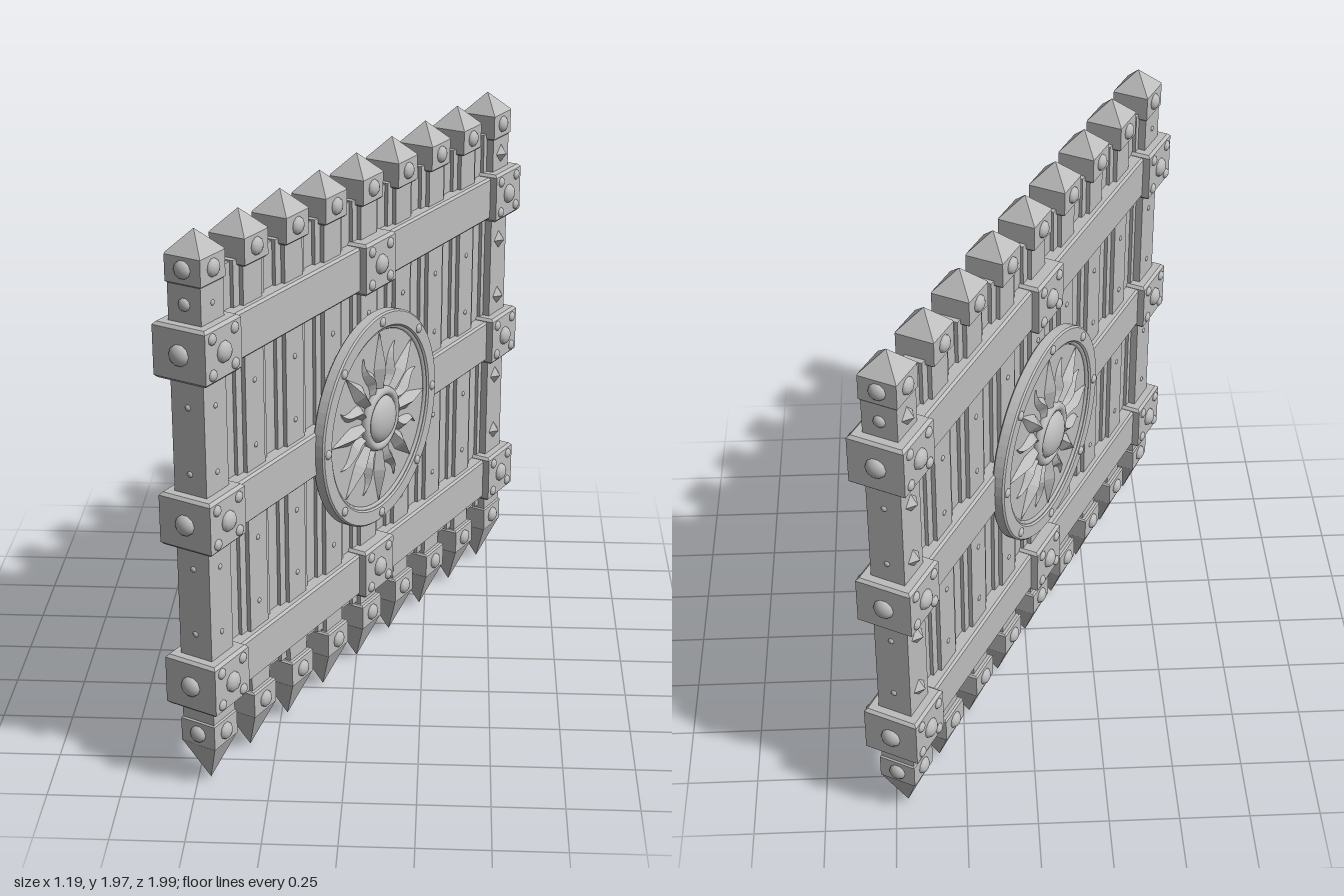
import * as THREE from 'three';

const metal = new THREE.MeshStandardMaterial({ color: 0xbdbdbd });
metal.name = 'greyIron';

function add(parent, name, geo, x = 0, y = 0, z = 0) {
  const m = new THREE.Mesh(geo, metal);
  m.name = name;
  m.position.set(x, y, z);
  parent.add(m);
  return m;
}

// Box with chamfered edges, centred on the origin
function chamferBox(w, h, d, b) {
  const x = w / 2 - b, z = d / 2 - b;
  const s = new THREE.Shape([[-x, -z], [x, -z], [x, z], [-x, z]].map(p => new THREE.Vector2(...p)));
  const g = new THREE.ExtrudeGeometry(s, { depth: h - 2 * b, bevelSize: b, bevelThickness: b, bevelSegments: 1 });
  return g.translate(0, 0, b - h / 2).rotateX(-Math.PI / 2);
}

// Four-sided pyramid pointing up, base on y = 0
function pyramid(w, h) {
  const g = new THREE.ConeGeometry(w / Math.SQRT2, h, 4, 1).rotateY(Math.PI / 4).translate(0, h / 2, 0).toNonIndexed();
  g.computeVertexNormals();
  return g;
}

// Domed rivet facing +z
function rivet(r) {
  return new THREE.SphereGeometry(r, 10, 4, 0, Math.PI * 2, 0, Math.PI / 2).scale(1, 0.65, 1).rotateX(Math.PI / 2);
}

// Ridged sun ray growing along +y, built from cross-sections
function rayGeometry(inner, outer, width, wave) {
  const pos = [], rows = [], n = 8;
  for (let i = 0; i <= n; i++) {
    const t = i / n, y = inner + (outer - inner) * t;
    const w = width * (t < 0.4 ? 0.55 + 0.45 * t / 0.4 : (1 - t) / 0.6);
    const c = wave * Math.sin(t * Math.PI * 2);
    rows.push([[c - w, y, 0], [c, y, 0.004 + 0.8 * w], [c + w, y, 0]]);
  }
  for (let i = 0; i < n; i++) {
    for (let k = 0; k < 2; k++) {
      const a = rows[i][k], b = rows[i][k + 1], c = rows[i + 1][k + 1], d = rows[i + 1][k];
      pos.push(...a, ...b, ...c, ...a, ...c, ...d);
    }
  }
  const g = new THREE.BufferGeometry();
  g.setAttribute('position', new THREE.Float32BufferAttribute(pos, 3));
  g.computeVertexNormals();
  return g;
}

// Round shield with rim, recessed face, sun rays and boss, facing +z
function sunShield() {
  const s = new THREE.Group();
  s.name = 'sunShield';
  const rimShape = new THREE.Shape().absarc(0, 0, 0.394, 0, Math.PI * 2);
  rimShape.holes.push(new THREE.Path().absarc(0, 0, 0.346, 0, Math.PI * 2, true));
  add(s, 'shieldRim', new THREE.ExtrudeGeometry(rimShape,
    { depth: 0.035, bevelSize: 0.006, bevelThickness: 0.006, bevelSegments: 1, curveSegments: 32 }), 0, 0, 0.066);
  add(s, 'shieldFace', new THREE.CylinderGeometry(0.36, 0.36, 0.03, 48).rotateX(Math.PI / 2), 0, 0, 0.075);
  add(s, 'innerRing', new THREE.TorusGeometry(0.338, 0.009, 6, 48), 0, 0, 0.091);
  for (let i = 0; i < 8; i++) {
    const a = i * Math.PI / 4;
    add(s, 'rimRivet', rivet(0.018), Math.sin(a) * 0.37, Math.cos(a) * 0.37, 0.106);
    add(s, 'straightRay', rayGeometry(0.12, 0.325, 0.034, 0), 0, 0, 0.092).rotation.z = a;
    add(s, 'wavyRay', rayGeometry(0.12, 0.285, 0.028, 0.012), 0, 0, 0.091).rotation.z = a + Math.PI / 8;
  }
  add(s, 'bossRing', new THREE.TorusGeometry(0.103, 0.018, 8, 32), 0, 0, 0.1);
  add(s, 'boss', new THREE.SphereGeometry(0.09, 24, 8, 0, Math.PI * 2, 0, Math.PI / 2)
    .scale(1, 0.5, 1).rotateX(Math.PI / 2), 0, 0, 0.098);
  return s;
}

export function createModel() {
  const root = new THREE.Group();
  root.name = 'gate';
  const gate = new THREE.Group();
  gate.name = 'gatePanel';
  gate.rotation.y = THREE.MathUtils.degToRad(62);
  root.add(gate);

  const spacing = 0.2437, capW = 0.135, half = 0.1;
  const barHeights = [0.41, 1.005, 1.59];
  const studHeights = [0.59, 0.83, 1.17, 1.4, 1.745];

  // Repeats a detail on the front and back faces
  const bothFaces = (name, geo, x, y, z) => {
    add(gate, name, geo, x, y, z);
    add(gate, name, geo, x, y, -z).rotation.y = Math.PI;
  };

  // Posts with end caps, points and studs
  for (let i = -4; i <= 4; i++) {
    const x = i * spacing, end = Math.abs(i) === 4;
    const w = end ? 0.125 : 0.108;
    add(gate, 'post', new THREE.BoxGeometry(w, 1.7, end ? 0.125 : 0.1), x, 1.02, 0);
    add(gate, 'topCap', chamferBox(capW, 0.1, capW, 0.006), x, 1.857, 0);
    add(gate, 'topPoint', pyramid(capW, 0.072), x, 1.904, 0);
    add(gate, 'bottomCap', chamferBox(capW, 0.1, capW, 0.006), x, 0.21, 0);
    add(gate, 'bottomSpike', pyramid(capW - 0.004, 0.16).rotateX(Math.PI), x, 0.165, 0);
    for (const y of [0.21, 1.86]) {
      bothFaces('capRivet', rivet(0.031), x, y, capW / 2 - 0.001);
      if (end) add(gate, 'endCapRivet', rivet(0.031), x + Math.sign(i) * (capW / 2 - 0.001), y, 0)
        .rotation.y = Math.sign(i) * Math.PI / 2;
    }
    for (const y of studHeights) {
      if (i === 4) {
        const stud = pyramid(0.05, 0.026).rotateY(Math.PI / 4).rotateX(Math.PI / 2);
        bothFaces('diamondStud', stud, x, y, 0.062);
      } else if (i === -4) {
        bothFaces('smallStud', rivet(0.01), x, y, 0.062);
      } else if (y < 1.7) {
        bothFaces('smallStud', rivet(0.01), x, y, 0.0495);
      }
      if (end) add(gate, 'endStud', rivet(y > 1.7 ? 0.022 : 0.011), x + Math.sign(i) * 0.062, y, 0)
        .rotation.y = Math.sign(i) * Math.PI / 2;
    }
    // Recessed slats filling the gap to the next post
    if (i < 4) {
      const gx = x + spacing / 2;
      add(gate, 'fillerSlat', new THREE.BoxGeometry(0.15, 1.55, 0.045), gx, 1.05, 0);
      for (const s of [-1, 1]) add(gate, 'edgeSlat', new THREE.BoxGeometry(0.035, 1.56, 0.07), gx + s * 0.052, 1.05, 0);
    }
  }

  // Cross bars with riveted brackets
  for (const y of barHeights) {
    add(gate, 'crossBar', chamferBox(8 * spacing, 0.165, 0.146, 0.008), 0, y, 0);
    for (const i of [-1, 0, 1]) {
      if (i === 0 && y === barHeights[1]) continue;
      const x = i * 4 * spacing;
      add(gate, 'bracket', chamferBox(0.2, 0.188, 0.2, 0.01), x, y, 0);
      bothFaces('bracketRivet', rivet(0.037), x, y, half - 0.001);
      for (const sx of [-1, 1]) for (const sy of [-1, 1])
        bothFaces('cornerRivet', rivet(0.02), x + sx * 0.062, y + sy * 0.06, half - 0.001);
      if (i) add(gate, 'endBracketRivet', rivet(0.037), x + i * (half - 0.001), y, 0).rotation.y = i * Math.PI / 2;
    }
  }

  // Sun shields on both faces
  for (const turn of [0, Math.PI]) {
    const s = sunShield();
    s.position.y = 1.005;
    s.rotation.y = turn;
    gate.add(s);
  }
  return root;
}
